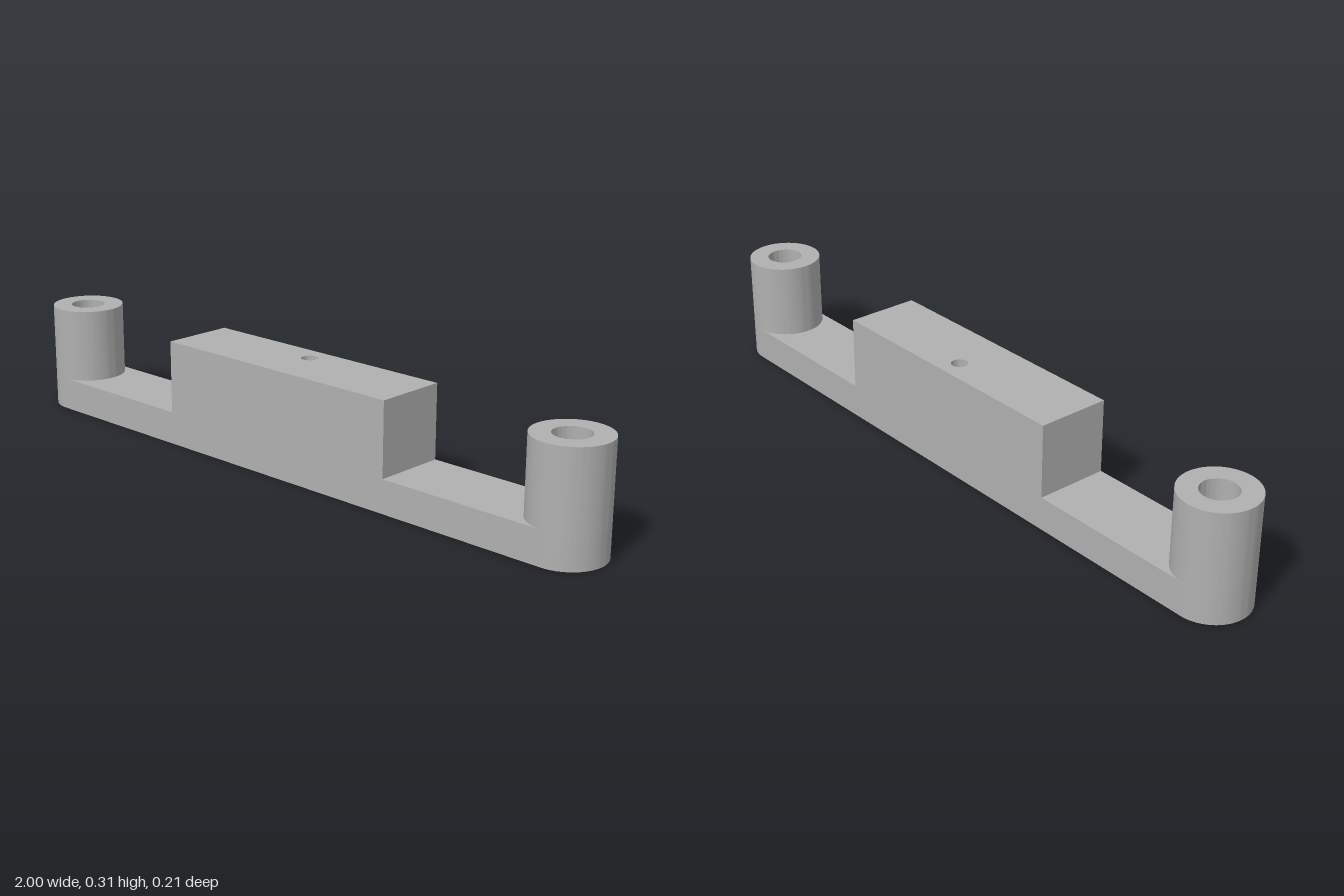
import * as THREE from 'three';
import { toCreasedNormals } from 'three/addons/utils/BufferGeometryUtils.js';

const R = 0.105;        // end radius and half the width
const CX = 1 - R;       // post centre
const BORE = 0.05;
const PLATE_H = 0.095, BLOCK_H = 0.305, POST_H = 0.31;

function addHole(shape, x, y, r) {
  const hole = new THREE.Path();
  hole.absarc(x, y, r, 0, Math.PI * 2, true);
  shape.holes.push(hole);
}

// Extrude a plan outline upward from y0 to y1 (plan y points to -z)
function upright(shape, y0, y1) {
  const g = new THREE.ExtrudeGeometry(shape, { depth: y1 - y0, bevelEnabled: false, curveSegments: 40 });
  g.rotateX(-Math.PI / 2);
  g.translate(0, y0, 0);
  return toCreasedNormals(g, 0.6);
}

export function createModel() {
  const group = new THREE.Group();
  group.name = 'mountingBracket';
  const grey = new THREE.MeshStandardMaterial({ color: 0xb0b0b0 });
  grey.name = 'grey';

  function add(name, geometry) {
    const mesh = new THREE.Mesh(geometry, grey);
    mesh.name = name;
    group.add(mesh);
  }

  // Round-ended base plate with three through holes
  const plate = new THREE.Shape();
  plate.moveTo(-CX, -R);
  plate.lineTo(CX, -R);
  plate.absarc(CX, 0, R, -Math.PI / 2, Math.PI / 2, false);
  plate.lineTo(-CX, R);
  plate.absarc(-CX, 0, R, Math.PI / 2, Math.PI * 1.5, false);
  addHole(plate, -CX, 0, BORE);
  addHole(plate, CX, 0, BORE);
  addHole(plate, 0, 0.045, 0.023);
  add('basePlate', upright(plate, 0, PLATE_H));

  // Raised centre block with a small off-centre hole
  const block = new THREE.Shape();
  block.moveTo(-0.4, -R);
  block.lineTo(0.4, -R);
  block.lineTo(0.4, R);
  block.lineTo(-0.4, R);
  block.closePath();
  addHole(block, 0, 0.045, 0.023);
  add('centreBlock', upright(block, PLATE_H, BLOCK_H));

  // Hollow posts at both ends
  for (const [name, x] of [['rightPost', -CX], ['leftPost', CX]]) {
    const ring = new THREE.Shape();
    ring.absarc(x, 0, R, 0, Math.PI * 2, false);
    addHole(ring, x, 0, BORE);
    add(name, upright(ring, PLATE_H, POST_H));
  }
  return group;
}
